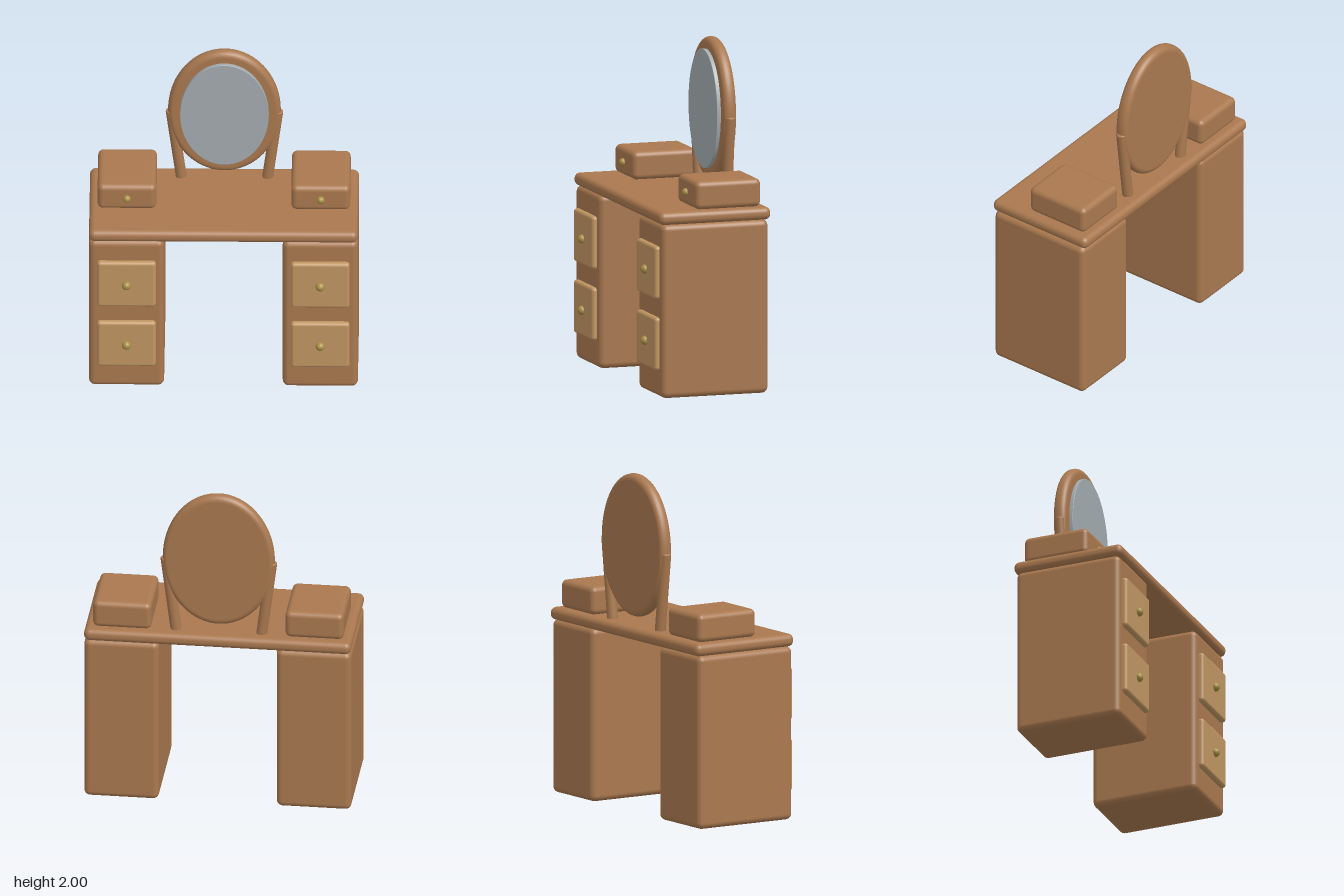
import * as THREE from 'three';
import { RoundedBoxGeometry } from 'three/addons/geometries/RoundedBoxGeometry.js';

export function createModel() {
  const model = new THREE.Group();
  model.name = 'dressingTable';
  const wood = new THREE.MeshStandardMaterial({ color: 0xa9784f });
  const lightWood = new THREE.MeshStandardMaterial({ color: 0xc09562 });
  const brass = new THREE.MeshStandardMaterial({ color: 0xa98f45 });
  const glass = new THREE.MeshStandardMaterial({ color: 0xa3abb0 });

  function add(name, geometry, material, x, y, z) {
    const mesh = new THREE.Mesh(geometry, material);
    mesh.name = name;
    mesh.position.set(x, y, z);
    model.add(mesh);
    return mesh;
  }

  // Rounded box given by its lower and upper corners
  function box(name, material, [x0, y0, z0], [x1, y1, z1], radius) {
    return add(name, new RoundedBoxGeometry(x1 - x0, y1 - y0, z1 - z0, 5, radius), material,
      (x0 + x1) / 2, (y0 + y1) / 2, (z0 + z1) / 2);
  }

  // Solid of revolution about y with rounded rims
  function roundedDisc(radius, height, rim, segments) {
    const points = [new THREE.Vector2(0, -height / 2), new THREE.Vector2(radius - rim - 0.002, -height / 2)];
    for (const [start, side] of [[-Math.PI / 2, -1], [0, 1]]) {
      for (let i = 0; i <= 6; i++) {
        const a = start + (i / 6) * (Math.PI / 2);
        points.push(new THREE.Vector2(
          radius - rim + rim * Math.cos(a),
          side * (height / 2 - rim) + rim * Math.sin(a)));
      }
    }
    points.push(new THREE.Vector2(radius - rim - 0.002, height / 2), new THREE.Vector2(0, height / 2));
    return new THREE.LatheGeometry(points, segments);
  }

  // Upright oval plate facing +z
  function oval(name, material, rx, ry, depth, rim, y, z) {
    const geometry = roundedDisc(ry, depth, rim, 72);
    geometry.rotateX(Math.PI / 2).scale(rx / ry, 1, 1);
    return add(name, geometry, material, 0, y, z);
  }

  // Table top
  box('tableTop', wood, [-0.787, 1.03, -0.367], [0.787, 1.105, 0.323], 0.034);

  for (const side of [1, -1]) {
    const label = side > 0 ? 'left' : 'right';
    const sideBox = (name, material, cx, w, y0, y1, z0, z1, r) =>
      box(label + name, material, [side * cx - w / 2, y0, z0], [side * cx + w / 2, y1, z1], r);
    const knob = (name, y, z, r) =>
      add(label + name, new THREE.SphereGeometry(r, 24, 16), brass, side * 0.567, y, z);

    // Pedestal with two drawers
    sideBox('Pedestal', wood, 0.567, 0.44, 0.003, 1.032, -0.35, 0.31, 0.036);
    [0.32, 0.743].forEach((y, i) => {
      const row = i ? 'Upper' : 'Lower';
      sideBox(row + 'Drawer', lightWood, 0.567, 0.344, y - 0.157, y + 0.157, 0.26, 0.34, 0.02);
      knob(row + 'DrawerKnob', y, 0.342, 0.027);
    });

    // Small box on the table top
    sideBox('TrinketBox', wood, 0.567, 0.344, 1.103, 1.27, -0.32, 0.085, 0.033);
    knob('TrinketBoxKnob', 1.186, 0.09, 0.023);

    // Mirror post, leaning outwards
    const foot = new THREE.Vector3(side * 0.25, 1.08, -0.272);
    const head = new THREE.Vector3(side * 0.313, 1.572, -0.272);
    const axis = head.clone().sub(foot);
    const middle = foot.clone().add(head).multiplyScalar(0.5);
    const post = add(label + 'MirrorPost', roundedDisc(0.032, axis.length(), 0.008, 28), wood,
      middle.x, middle.y, middle.z);
    post.quaternion.setFromUnitVectors(new THREE.Vector3(0, 1, 0), axis.normalize());
  }

  // Oval mirror: solid backed frame with raised glass
  oval('mirrorFrame', wood, 0.33, 0.423, 0.078, 0.036, 1.577, -0.272);
  oval('mirrorGlass', glass, 0.26, 0.353, 0.05, 0.003, 1.577, -0.235);

  return model;
}
